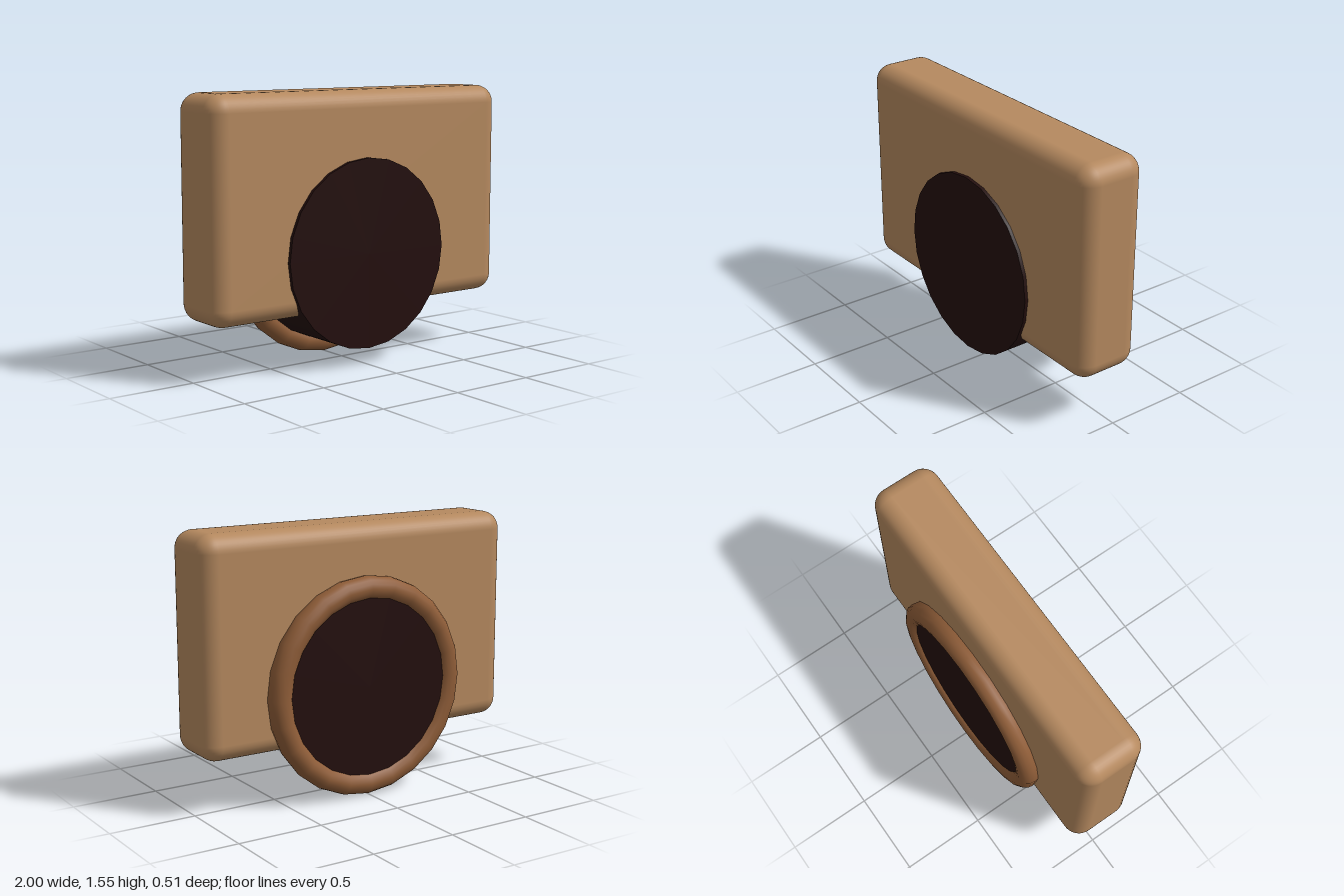
import * as THREE from 'three';
import { RoundedBoxGeometry } from 'three/addons/geometries/RoundedBoxGeometry.js';

export function createModel() {
  const group = new THREE.Group();
  const material = (name, color) => {
    const m = new THREE.MeshStandardMaterial({ color });
    m.name = name;
    return m;
  };
  const add = (name, geometry, mat, y, z) => {
    const mesh = new THREE.Mesh(geometry, mat);
    mesh.name = name;
    mesh.position.set(0, y, z);
    group.add(mesh);
    return mesh;
  };

  const tan = material('tan', 0xb5895f);
  const brown = material('brown', 0x8f5d38);
  const dark = material('dark brown', 0x230e0d);

  // Rounded slab body
  add('body', new RoundedBoxGeometry(2, 1.235, 0.395, 5, 0.1), tan, 0.9325, 0.0375);

  // Barrel running through the body, front to back
  const barrel = new THREE.CylinderGeometry(0.54, 0.54, 0.48, 24);
  barrel.rotateX(Math.PI / 2);
  add('barrel', barrel, dark, 0.635, 0.015);

  // Rounded rim at the back of the barrel
  add('rim', new THREE.TorusGeometry(0.564, 0.068, 16, 24), brown, 0.632, -0.185);

  return group;
}
